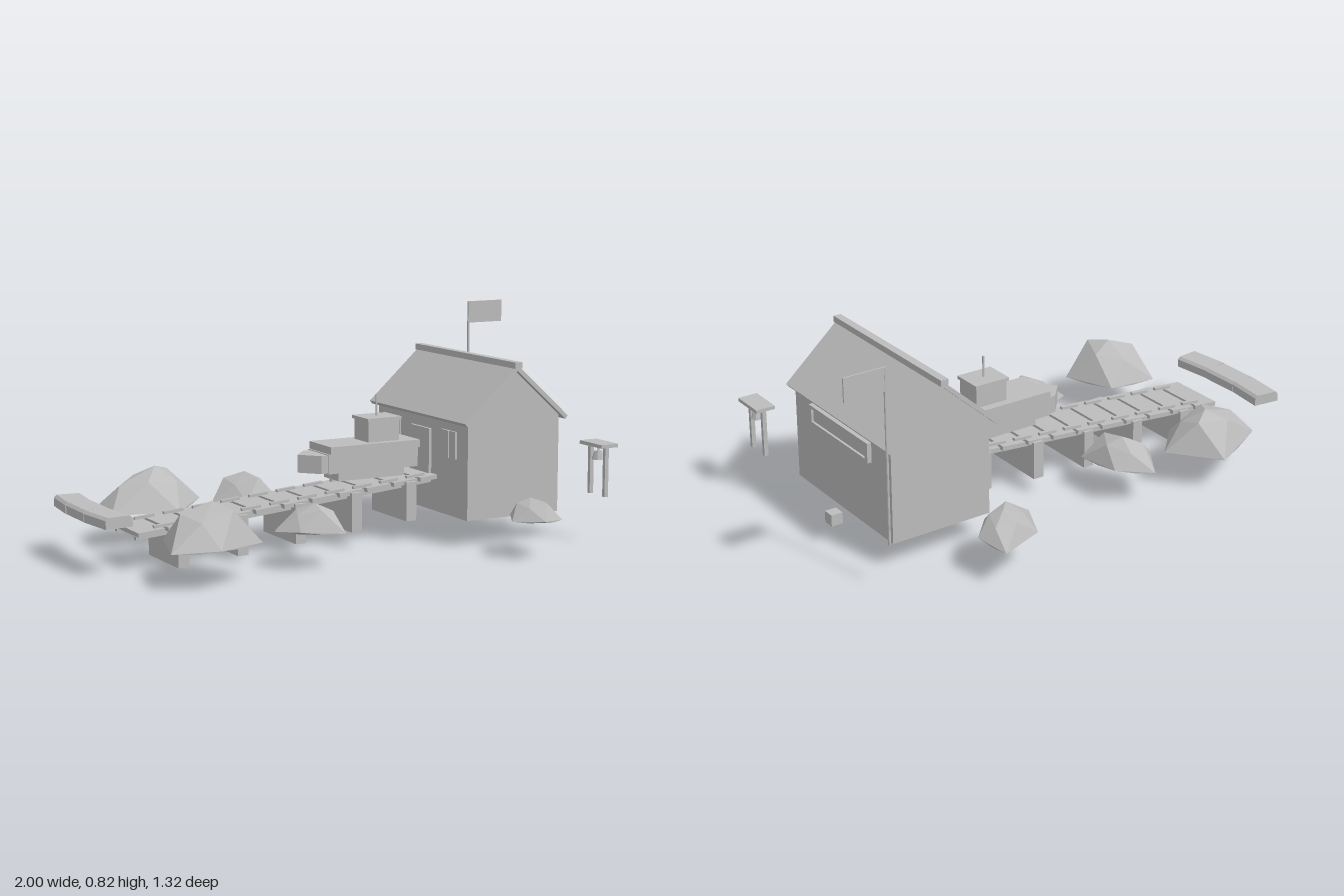
import * as THREE from 'three';
import { ConvexGeometry } from 'three/addons/geometries/ConvexGeometry.js';

export function createModel() {
  const root = new THREE.Group();
  root.name = 'fishingDock';
  const grey = new THREE.MeshStandardMaterial({ color: 0xbcbcbc, flatShading: true });
  grey.name = 'plain grey';

  const add = (parent, name, geometry, x = 0, y = 0, z = 0) => {
    const mesh = new THREE.Mesh(geometry, grey);
    mesh.name = name;
    mesh.position.set(x, y, z);
    parent.add(mesh);
    return mesh;
  };
  // Box given by its lower and upper limits on each axis
  const box = (parent, name, x0, x1, y0, y1, z0, z1) =>
    add(parent, name, new THREE.BoxGeometry(x1 - x0, y1 - y0, z1 - z0),
      (x0 + x1) / 2, (y0 + y1) / 2, (z0 + z1) / 2);
  const group = (name) => {
    const g = new THREE.Group();
    g.name = name;
    root.add(g);
    return g;
  };
  // Vertical or lengthwise prism from a 2D outline
  const prism = (points, depth) => new THREE.ExtrudeGeometry(
    new THREE.Shape(points.map(([x, y]) => new THREE.Vector2(x, y))),
    { depth, bevelEnabled: false });

  // House: walls with gables, roof slabs and ridge beam
  const house = group('house');
  const cx = 0.562;
  box(house, 'walls', 0.364, 0.76, 0.103, 0.468, -0.33, 0.312);
  add(house, 'gables', prism([[0.364, 0.468], [0.76, 0.468], [cx, 0.645]], 0.642), 0, 0, -0.33);
  for (const s of [-1, 1]) {
    const slab = [[cx, 0.664], [cx + s * 0.224, 0.464], [cx + s * 0.214, 0.452], [cx, 0.643]];
    add(house, s < 0 ? 'roofRight' : 'roofLeft', prism(slab, 0.69), 0, 0, -0.357);
  }
  box(house, 'ridgeBeam', cx - 0.015, cx + 0.015, 0.652, 0.675, -0.363, 0.34);

  // Long board with frame on the outer wall
  box(house, 'boardBack', 0.76, 0.768, 0.362, 0.436, -0.205, 0.19);
  for (const [y0, y1] of [[0.362, 0.374], [0.424, 0.436]])
    box(house, 'boardFrame', 0.76, 0.777, y0, y1, -0.205, 0.19);
  for (const [z0, z1] of [[-0.205, -0.188], [0.173, 0.19]])
    box(house, 'boardFrame', 0.76, 0.777, 0.374, 0.424, z0, z1);

  // Door and two windows facing the dock
  box(house, 'door', 0.353, 0.366, 0.21, 0.41, -0.08, 0.06);
  for (const z of [-0.21, 0.19]) {
    box(house, 'windowFrame', 0.356, 0.366, 0.32, 0.42, z - 0.048, z + 0.048);
    box(house, 'windowBar', 0.352, 0.358, 0.32, 0.42, z - 0.006, z + 0.006);
  }

  // Dock: sloping planks, rails and slab piers
  const dock = group('dock');
  const deckY = (x) => 0.203 + 0.085 * x;
  const slope = Math.atan(0.085);
  for (let i = 0; i < 11; i++) {
    const x = -0.787 + i * 0.113;
    const plank = add(dock, 'plank', new THREE.BoxGeometry(0.1, 0.016, 0.23), x, deckY(x), -0.015);
    plank.rotation.z = slope;
  }
  for (const z of [-0.1, 0.07]) {
    const beam = add(dock, 'sideBeam', new THREE.BoxGeometry(1.19, 0.014, 0.018), -0.245, deckY(-0.245) - 0.014, z);
    beam.rotation.z = slope;
    for (let i = 0; i < 10; i++) {
      const x = -0.73 + i * 0.113;
      const cleat = add(dock, 'railPiece', new THREE.BoxGeometry(0.075, 0.012, 0.014), x, deckY(x) + 0.012, z);
      cleat.rotation.z = slope;
    }
  }
  for (let i = 0; i < 5; i++) {
    const x = -0.674 + i * 0.23;
    const y = 0.004 + i * 0.0192;
    box(dock, 'pier', x - 0.021, x + 0.021, y, y + 0.145, -0.142, 0.115);
  }

  // Boat resting on the dock
  const boat = group('boat');
  box(boat, 'keel', -0.02, 0.257, 0.24, 0.275, -0.07, 0.04);
  box(boat, 'hull', -0.072, 0.305, 0.273, 0.345, -0.092, 0.06);
  box(boat, 'gunwale', -0.065, 0.31, 0.345, 0.373, -0.1, 0.067);
  const prow = prism([[-0.16, 0.015], [-0.098, -0.055], [-0.07, -0.055], [-0.07, 0.085], [-0.098, 0.085]], 0.066);
  prow.rotateX(-Math.PI / 2);
  add(boat, 'prow', prow, 0, 0.276, 0);
  box(boat, 'cabin', 0.107, 0.237, 0.373, 0.45, -0.068, 0.038);
  box(boat, 'cabinRoof', 0.1, 0.244, 0.45, 0.462, -0.075, 0.045);
  add(boat, 'mast', new THREE.CylinderGeometry(0.004, 0.004, 0.08, 6), 0.171, 0.502, -0.015);

  // Three low blocks curving around the end of the dock
  const blocks = group('endBlocks');
  for (const [x, z, turn] of [[-0.94, -0.238, -0.11], [-0.947, -0.08, 0], [-0.94, 0.08, 0.11]]) {
    const profile = [[-0.052, 0], [0.052, 0], [0.052, 0.03], [0.042, 0.04], [-0.042, 0.04], [-0.052, 0.03]];
    const g = prism(profile, 0.158);
    g.translate(0, 0, -0.079);
    add(blocks, 'block', g, x, 0.178, z).rotation.y = turn;
  }

  // Flag with three stripes on a pole
  const flag = group('flag');
  add(flag, 'flagPole', new THREE.CylinderGeometry(0.005, 0.005, 0.645, 8), 0.842, 0.4985, -0.443);
  for (let i = 0; i < 3; i++)
    box(flag, 'stripe', 0.842, 0.997, 0.735 + i * 0.0287, 0.7637 + i * 0.0287, -0.446, -0.44);

  // Bell stand
  const stand = group('bellStand');
  box(stand, 'standRoof', 0.817, 0.892, 0.361, 0.374, 0.368, 0.503);
  for (const z of [0.39, 0.482])
    box(stand, 'standPost', 0.845, 0.861, 0.177, 0.361, z - 0.007, z + 0.007);
  add(stand, 'bell', new THREE.CylinderGeometry(0.014, 0.024, 0.032, 8), 0.853, 0.326, 0.436);
  add(stand, 'bellHook', new THREE.CylinderGeometry(0.004, 0.004, 0.022, 6), 0.853, 0.351, 0.436);

  // Small crate beside the house
  box(root, 'crate', 0.785, 0.83, 0.063, 0.106, -0.035, 0.01);

  // Faceted boulders: ground outline, raised shoulder points and a peak
  const rocks = group('rocks');
  const rock = (outline, peak, base = 0.133) => {
    const [px, py, pz] = peak;
    const pts = [new THREE.Vector3(px, py, pz)];
    outline.forEach(([x, z], i) => {
      const [nx, nz] = outline[(i + 1) % outline.length];
      const mx = (x + nx) / 2, mz = (z + nz) / 2;
      const k = 0.3 + 0.06 * (i % 2);
      pts.push(new THREE.Vector3(x, base + 0.012 * (i % 2), z));
      pts.push(new THREE.Vector3(mx + (px - mx) * k, base + (py - base) * (0.62 + 0.12 * (i % 3)), mz + (pz - mz) * k));
      pts.push(new THREE.Vector3(mx, base, mz));
    });
    add(rocks, 'rock', new ConvexGeometry(pts));
  };
  rock([[-0.79, -0.255], [-0.775, -0.42], [-0.54, -0.535], [-0.385, -0.375], [-0.54, -0.215]], [-0.56, 0.278, -0.39]);
  rock([[-0.786, 0.193], [-0.578, 0.193], [-0.513, 0.407], [-0.72, 0.52], [-0.866, 0.438]], [-0.67, 0.28, 0.34]);
  rock([[-0.267, -0.47], [-0.144, -0.39], [-0.128, -0.208], [-0.278, -0.192], [-0.355, -0.33]], [-0.22, 0.238, -0.33]);
  rock([[-0.25, 0.198], [-0.165, 0.315], [-0.198, 0.422], [-0.353, 0.38], [-0.4, 0.267]], [-0.26, 0.228, 0.31]);
  rock([[0.524, -0.665], [0.55, -0.535], [0.444, -0.417], [0.294, -0.47], [0.348, -0.6]], [0.45, 0.23, -0.54], 0.14);
  rock([[0.47, 0.433], [0.577, 0.45], [0.577, 0.604], [0.47, 0.657], [0.4, 0.55]], [0.49, 0.216, 0.53], 0.14);

  return root;
}
